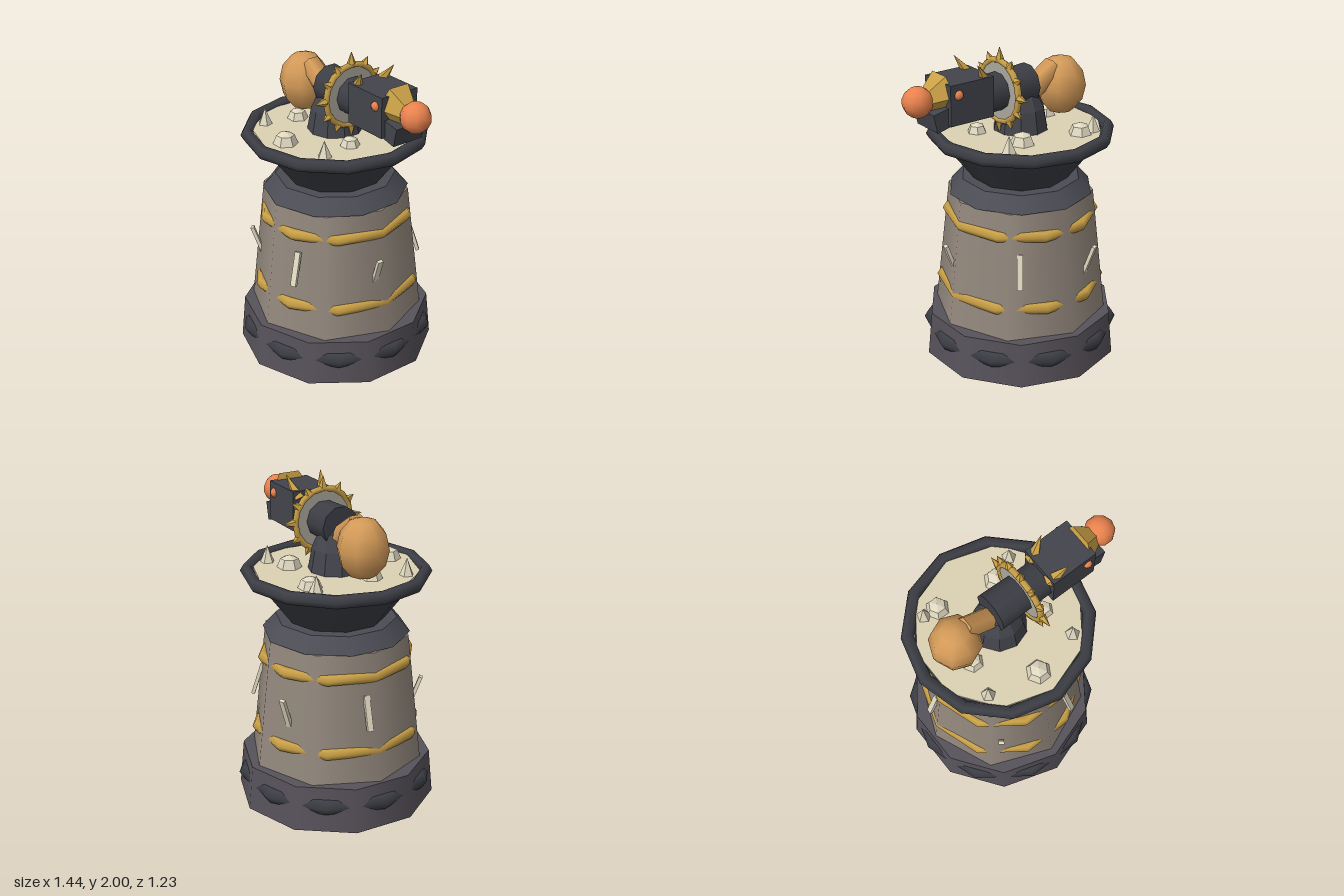
import * as THREE from 'three';

const AXIS = -0.11; // x of the tower axis

const mat = (color, flatShading = false) => new THREE.MeshStandardMaterial({ color, flatShading });
const M = {
  base: mat(0x57525a), stone: mat(0x93887d), neck: mat(0x4b4c54), dark: mat(0x3c3e45),
  iron: mat(0x43454c, true), gold: mat(0xc9a046), goldFlat: mat(0xc9a046, true),
  cream: mat(0xdcd1b2), ivory: mat(0xe0d8c0, true), tan: mat(0xd39a58), orange: mat(0xea824e),
  grey: mat(0xaaa79c),
};

function add(parent, name, geometry, material, x = 0, y = 0, z = 0) {
  const mesh = new THREE.Mesh(geometry, material);
  mesh.name = name;
  mesh.position.set(x, y, z);
  parent.add(mesh);
  return mesh;
}

// Cylinder or cone running from point a (radius ra) to point b (radius rb)
function rod(parent, name, a, b, ra, rb, sides, material) {
  const A = new THREE.Vector3(...a), B = new THREE.Vector3(...b);
  const dir = B.clone().sub(A);
  const mesh = add(parent, name, new THREE.CylinderGeometry(rb, ra, dir.length(), sides), material);
  mesh.position.copy(A).add(B).multiplyScalar(0.5);
  mesh.quaternion.setFromUnitVectors(new THREE.Vector3(0, 1, 0), dir.normalize());
  return mesh;
}

function buildTower() {
  const tower = new THREE.Group();
  tower.name = 'tower';
  tower.position.x = AXIS;

  // Stacked drums: name, y0, y1, bottom radius, top radius, sides, material
  const drums = [
    ['base', 0, 0.28, 0.613, 0.587, 10, M.base],
    ['body', 0.28, 1.08, 0.54, 0.45, 8, M.stone],
    ['neck', 1.08, 1.17, 0.45, 0.37, 10, M.neck],
    ['bowl', 1.17, 1.45, 0.3, 0.515, 10, M.dark],
    ['bowlFloor', 1.44, 1.465, 0.505, 0.505, 10, M.cream],
  ];
  for (const [name, y0, y1, r0, r1, sides, material] of drums)
    add(tower, name, new THREE.CylinderGeometry(r1, r0, y1 - y0, sides), material, 0, (y0 + y1) / 2);

  // Hoops whose corners stand out of the drums
  const hoops = [
    ['baseStuds', 0.16, 0.563, 0.052, 10, M.dark],
    ['lowerBand', 0.47, 0.488, 0.038, 10, M.gold],
    ['upperBand', 0.93, 0.448, 0.035, 10, M.gold],
    ['rim', 1.45, 0.535, 0.04, 12, M.dark],
  ];
  for (const [name, y, r, tube, segments, material] of hoops)
    add(tower, name, new THREE.TorusGeometry(r, tube, 6, segments), material, 0, y).rotation.x = Math.PI / 2;

  // Slats leaning in and out by turns
  for (let i = 0; i < 6; i++) {
    const holder = new THREE.Group();
    holder.name = 'slatHolder';
    holder.rotation.y = 0.4 + i * Math.PI / 3;
    const odd = i % 2;
    const slat = add(holder, 'slat', new THREE.BoxGeometry(0.036, 0.215, 0.022), M.ivory, 0, odd ? 0.685 : 0.72, 0.488);
    slat.rotation.x = odd ? 0.34 : -0.3;
    tower.add(holder);
  }

  // Stones and spikes lying in the bowl
  for (const [x, z, r] of [[-0.22, -0.3, 0.072], [0.16, -0.23, 0.076], [0, 0.37, 0.076], [0.26, 0.09, 0.06], [-0.26, 0.09, 0.065]])
    add(tower, 'stone', new THREE.SphereGeometry(r, 6, 4), M.ivory, x, 1.465, z);
  for (const [x, z] of [[-0.31, -0.31], [0.31, -0.3], [-0.31, 0.3], [0.3, 0.31]])
    add(tower, 'bowlSpike', new THREE.ConeGeometry(0.046, 0.11, 5), M.ivory, x, 1.515, z);

  // Domed pedestal
  const profile = [[0.17, 1.46], [0.145, 1.6], [0.1, 1.7], [0, 1.76]].map(p => new THREE.Vector2(...p));
  add(tower, 'pedestal', new THREE.LatheGeometry(profile, 10), M.iron);
  return tower;
}

function buildCannon() {
  const cannon = new THREE.Group();
  cannon.name = 'cannon';

  // Rear sack and its pipe
  add(cannon, 'sack', new THREE.SphereGeometry(0.157, 8, 6), M.tan, -0.415, 1.678, 0).scale.y = 1.19;
  rod(cannon, 'pipe', [-0.36, 1.8, 0], [-0.14, 1.655, 0], 0.07, 0.07, 6, M.tan);

  rod(cannon, 'barrel', [-0.165, 1.738, 0], [0.22, 1.725, 0], 0.122, 0.112, 10, M.dark);

  // Spiked collar
  const collar = new THREE.Group();
  collar.name = 'collar';
  collar.position.set(0.047, 1.73, 0);
  collar.rotation.y = Math.PI / 2;
  add(collar, 'collarRing', new THREE.TorusGeometry(0.188, 0.02, 6, 16), M.gold);
  add(collar, 'collarPlate', new THREE.CylinderGeometry(0.18, 0.18, 0.02, 16), M.grey).rotation.x = Math.PI / 2;
  for (let i = 0; i < 12; i++) {
    const a = i * Math.PI / 6, tip = i % 3 ? 0.245 : 0.27;
    const at = r => [Math.cos(a) * r, Math.sin(a) * r, 0];
    rod(collar, 'collarSpike', at(0.195), at(tip), 0.027, 0, 5, M.goldFlat);
  }
  cannon.add(collar);

  // Head, jaw, muzzle and ball
  add(cannon, 'head', new THREE.BoxGeometry(0.3, 0.245, 0.26), M.iron, 0.333, 1.757, 0);
  add(cannon, 'jaw', new THREE.BoxGeometry(0.3, 0.115, 0.21), M.iron, 0.425, 1.694, 0).rotation.z = -0.22;
  rod(cannon, 'muzzle', [0.445, 1.805, 0], [0.565, 1.775, 0], 0.135, 0.065, 6, M.goldFlat);
  add(cannon, 'ball', new THREE.SphereGeometry(0.092, 10, 7), M.orange, 0.622, 1.778, 0);

  // Eyes and horns on both sides
  for (const s of [-1, 1]) {
    add(cannon, 'eye', new THREE.SphereGeometry(0.03, 8, 6), M.orange, 0.427, 1.815, s * 0.125);
    rod(cannon, 'horn', [0.195, 1.825, s * 0.08], [0.29, 1.965, s * 0.12], 0.045, 0, 5, M.goldFlat);
  }
  return cannon;
}

export function createModel() {
  const model = new THREE.Group();
  model.name = 'cannonTower';
  model.add(buildTower(), buildCannon());
  return model;
}
